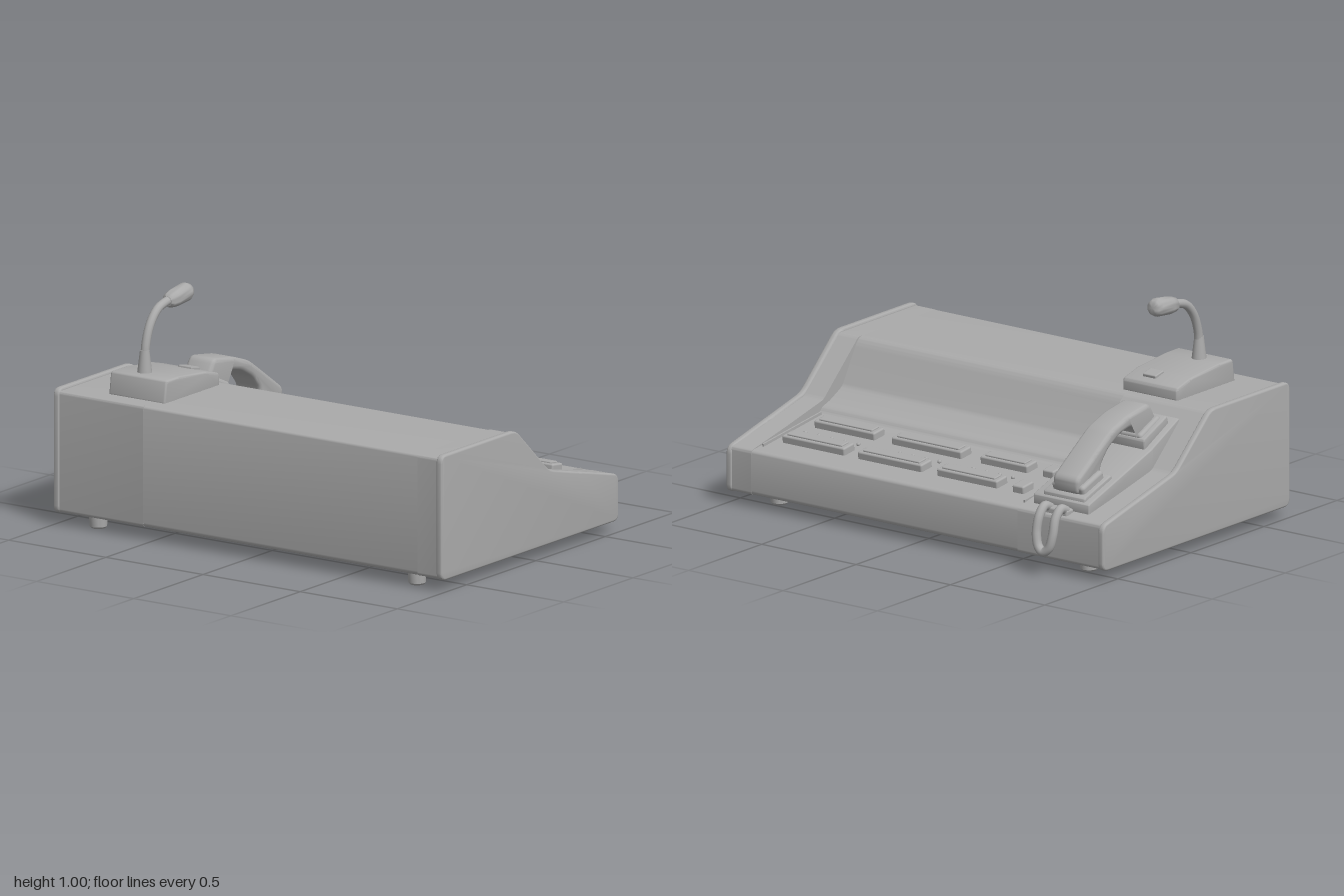
import * as THREE from 'three';
import { toCreasedNormals } from 'three/addons/utils/BufferGeometryUtils.js';
import { RoundedBoxGeometry } from 'three/addons/geometries/RoundedBoxGeometry.js';

const grey = new THREE.MeshStandardMaterial({ color: 0xaaaaaa });
grey.name = 'grey plastic';

function add(parent, name, geometry, x = 0, y = 0, z = 0) {
  const mesh = new THREE.Mesh(geometry, grey);
  mesh.name = name;
  mesh.position.set(x, y, z);
  parent.add(mesh);
  return mesh;
}

// Closed outline with every corner rounded by up to r
function roundedShape(points, r) {
  const p = points.map(([x, y]) => new THREE.Vector2(x, y));
  const shape = new THREE.Shape();
  p.forEach((c, i) => {
    const a = p[(i + p.length - 1) % p.length], b = p[(i + 1) % p.length];
    const toward = (q) => c.clone().lerp(q, Math.min(0.45, r / c.distanceTo(q)));
    const s = toward(a), e = toward(b);
    if (i) shape.lineTo(s.x, s.y); else shape.moveTo(s.x, s.y);
    shape.quadraticCurveTo(c.x, c.y, e.x, e.y);
  });
  shape.closePath();
  return shape;
}

// Side profile extruded between two z planes, with an optional soft edge
function slab(parent, name, points, z0, z1, r = 0.01, bevel = 0) {
  const g = new THREE.ExtrudeGeometry(roundedShape(points, r), {
    depth: z1 - z0 - 2 * bevel, curveSegments: 5, bevelEnabled: bevel > 0,
    bevelSize: bevel, bevelOffset: -bevel, bevelThickness: bevel, bevelSegments: 3,
  });
  g.translate(0, 0, z0 + bevel);
  return add(parent, name, toCreasedNormals(g, 0.6));
}

function tube(parent, name, points, radius, segments = 40) {
  const curve = new THREE.CatmullRomCurve3(points.map((p) => new THREE.Vector3(...p)));
  return add(parent, name, new THREE.TubeGeometry(curve, segments, radius, 12));
}

function buildHousing(root) {
  const housing = new THREE.Group();
  housing.name = 'housing';
  root.add(housing);
  // End panels
  const side = [[-0.68, 0.05], [0.6, 0.05], [0.6, 0.25], [0.35, 0.31], [0.1, 0.37], [-0.14, 0.592], [-0.68, 0.592]];
  slab(housing, 'rightEndPanel', side, -1, -0.97, 0.035, 0.008);
  slab(housing, 'leftEndPanel', side, 0.97, 1, 0.035, 0.008);
  // Body sections: phone deck, sunken control section, narrow end border
  const deck = [[-0.674, 0.056], [0.594, 0.056], [0.594, 0.25], [0.35, 0.302], [0.1, 0.36], [-0.14, 0.58], [-0.674, 0.58]];
  const sunken = [[-0.674, 0.056], [0.594, 0.056], [0.594, 0.25], [0.54, 0.256], [0.125, 0.308], [0.108, 0.332],
    [0.06, 0.345], [-0.03, 0.39], [-0.125, 0.555], [-0.15, 0.58], [-0.674, 0.58]];
  slab(housing, 'phoneDeck', deck, -0.975, -0.54, 0.015);
  slab(housing, 'controlDeck', sunken, -0.54, 0.87, 0.02);
  slab(housing, 'endBorder', deck, 0.87, 0.975, 0.015);
  // Feet
  for (const x of [-0.605, 0.465]) {
    for (const z of [-0.82, 0.82]) {
      const profile = [[0, 0], [0.03, 0], [0.037, 0.008], [0.04, 0.06], [0, 0.06]].map((p) => new THREE.Vector2(...p));
      add(housing, 'foot', toCreasedNormals(new THREE.LatheGeometry(profile, 20), 0.6), x, 0, z);
    }
  }
}

function buildControls(root) {
  const controls = new THREE.Group();
  controls.name = 'controls';
  controls.position.set(0.125, 0.308, 0);
  controls.rotation.z = -Math.atan2(0.052, 0.415);
  root.add(controls);
  // Key banks: column x, then start and end along z
  const columns = [
    [0.105, [[-0.48, -0.42], [-0.34, -0.09], [0.01, 0.38], [0.47, 0.79]]],
    [0.3, [[-0.47, -0.41], [-0.33, -0.01], [0.07, 0.41], [0.48, 0.81]]],
  ];
  for (const [x, banks] of columns) {
    for (const [z0, z1] of banks) {
      const mid = (z0 + z1) / 2;
      add(controls, 'keyBank', new RoundedBoxGeometry(0.075, 0.04, z1 - z0, 2, 0.008), x, 0.012, mid);
      if (z1 - z0 > 0.1) {
        add(controls, 'keyCap', new RoundedBoxGeometry(0.05, 0.012, z1 - z0 - 0.04, 2, 0.004), x, 0.033, mid);
      }
    }
  }
  // Row of indicator lamps
  for (const z of [-0.32, -0.25, -0.18, -0.11, 0.07, 0.14, 0.21, 0.28, 0.5, 0.57, 0.64, 0.71, 0.78]) {
    add(controls, 'indicator', new THREE.SphereGeometry(0.009, 10, 6), 0.215, 0.004, z);
  }
  // Low ridges at the ends of the control field
  for (const z of [-0.53, 0.855]) {
    add(controls, 'fieldRidge', new THREE.BoxGeometry(0.4, 0.02, 0.008), 0.21, 0.002, z);
  }
}

function buildPhone(root) {
  const phone = new THREE.Group();
  phone.name = 'telephone';
  root.add(phone);
  // Cradle base with a raised rest at each end
  slab(phone, 'cradleBase', [[-0.1, 0.48], [-0.09, 0.545], [0.1, 0.45], [0.53, 0.305], [0.53, 0.25], [0.1, 0.33]],
    -0.87, -0.575, 0.01, 0.006);
  slab(phone, 'upperRest', [[-0.06, 0.51], [-0.045, 0.56], [0.115, 0.488], [0.11, 0.43]], -0.84, -0.62, 0.01, 0.006);
  slab(phone, 'lowerRest', [[0.33, 0.35], [0.335, 0.388], [0.52, 0.325], [0.52, 0.28]], -0.84, -0.62, 0.01, 0.006);
  // Handset
  slab(phone, 'handset', [[-0.035, 0.535], [0.02, 0.622], [0.17, 0.598], [0.28, 0.56], [0.39, 0.485], [0.52, 0.395],
    [0.508, 0.325], [0.345, 0.375], [0.355, 0.42], [0.3, 0.485], [0.22, 0.53], [0.14, 0.548], [0.095, 0.505],
    [0.115, 0.455]], -0.8, -0.665, 0.025, 0.018);
  for (const [x, y, tilt] of [[0.035, 0.51, -0.42], [0.43, 0.365, -0.34]]) {
    const piece = add(phone, 'handsetEnd', new RoundedBoxGeometry(0.15, 0.05, 0.17, 3, 0.015), x, y, -0.735);
    piece.rotation.z = tilt;
  }
  // Hanging cord loop
  const strand = [[0.555, 0.27], [0.595, 0.285], [0.63, 0.25], [0.65, 0.18]];
  tube(phone, 'cord', [
    ...strand.map(([x, y]) => [x, y, -0.685]), [0.657, 0.125, -0.7], [0.66, 0.105, -0.727],
    [0.657, 0.125, -0.755], ...strand.map(([x, y]) => [x, y, -0.77]).reverse(),
  ], 0.02, 70);
  add(phone, 'cordSocket', new RoundedBoxGeometry(0.05, 0.04, 0.13, 2, 0.01), 0.555, 0.258, -0.727);
}

function buildMicrophone(root) {
  const mic = new THREE.Group();
  mic.name = 'microphone';
  root.add(mic);
  // Base and push button
  slab(mic, 'microphoneBase', [[-0.59, 0.57], [-0.575, 0.676], [-0.48, 0.675], [-0.29, 0.657], [-0.19, 0.63], [-0.19, 0.57]],
    -0.78, -0.49, 0.015, 0.01);
  const button = add(mic, 'pushButton', new RoundedBoxGeometry(0.06, 0.02, 0.07, 2, 0.005), -0.26, 0.65, -0.6);
  button.rotation.z = -0.2;
  // Stem
  add(mic, 'stemCollar', new THREE.CylinderGeometry(0.02, 0.032, 0.1, 20), -0.502, 0.72, -0.655);
  tube(mic, 'stem', [[-0.503, 0.7, -0.655], [-0.495, 0.79, -0.655], [-0.465, 0.87, -0.655], [-0.415, 0.925, -0.655],
    [-0.36, 0.945, -0.655], [-0.3, 0.952, -0.655]], 0.019);
  // Head
  const profile = [[0, 0], [0.022, 0], [0.032, 0.012], [0.038, 0.045], [0.04, 0.13], [0.032, 0.15], [0.02, 0.157], [0, 0.158]]
    .map((p) => new THREE.Vector2(...p));
  const head = add(mic, 'microphoneHead', toCreasedNormals(new THREE.LatheGeometry(profile, 24), 0.8), -0.338, 0.946, -0.655);
  head.rotation.z = -Math.PI / 2 + 0.12;
}

export function createModel() {
  const model = new THREE.Group();
  model.name = 'desk console';
  buildHousing(model);
  buildControls(model);
  buildPhone(model);
  buildMicrophone(model);
  return model;
}
